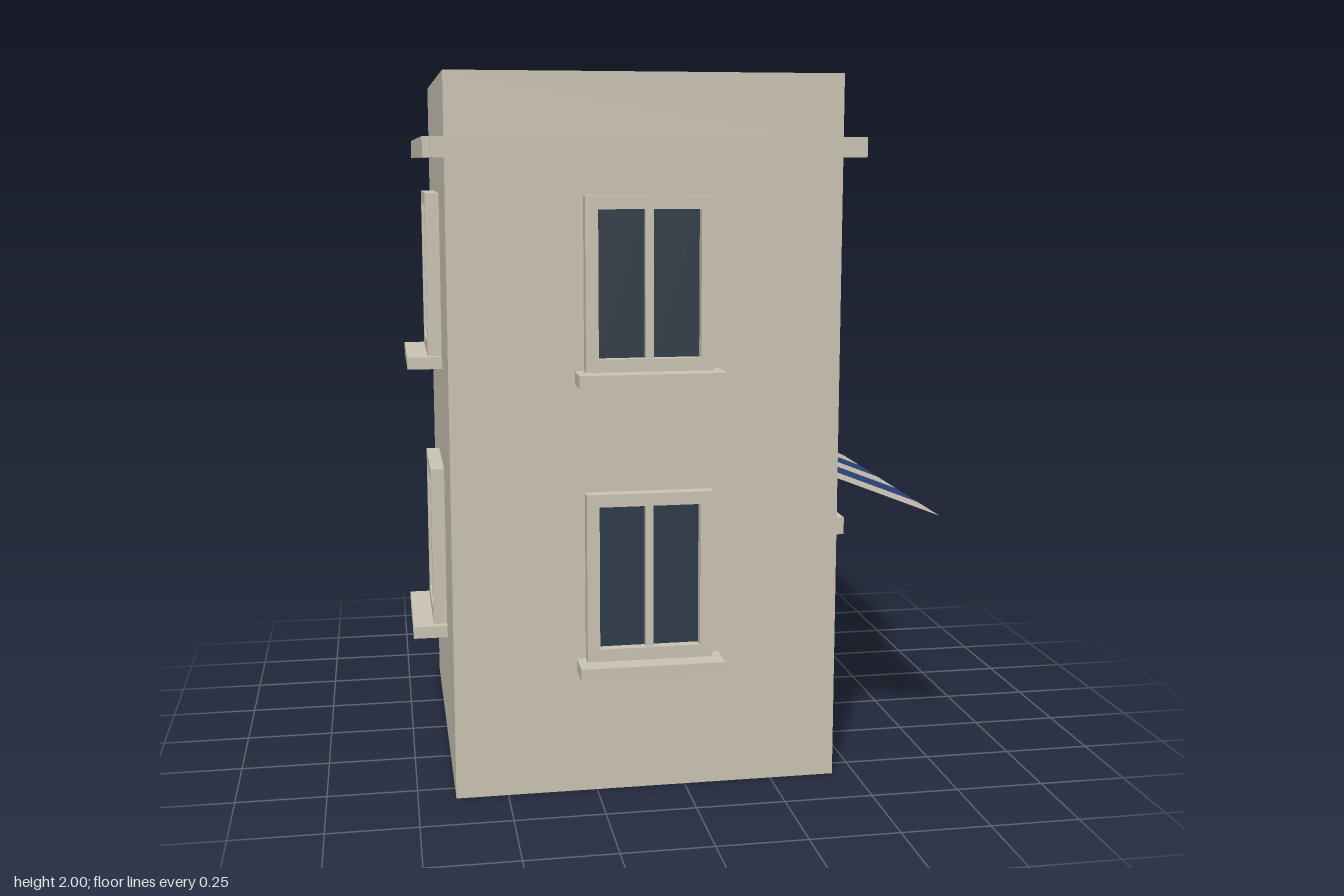
import * as THREE from 'three';

const material = (name, color, side = THREE.FrontSide) => {
  const m = new THREE.MeshStandardMaterial({ color, side });
  m.name = name;
  return m;
};

export function createModel() {
  const stone = material('stone', 0xcbc4b4, THREE.DoubleSide);
  const glass = material('glass', 0x2e3b47);
  const doorPaint = material('doorPaint', 0x2d2d2d);
  const blueCloth = material('blueCloth', 0x2a4480, THREE.DoubleSide);
  const roofGrey = material('roofGrey', 0x9c9892, THREE.DoubleSide);

  const model = new THREE.Group();
  model.name = 'cornerShop';

  // Box given by its minimum and maximum corners
  const box = (parent, name, mat, [x0, y0, z0], [x1, y1, z1]) => {
    const mesh = new THREE.Mesh(new THREE.BoxGeometry(x1 - x0, y1 - y0, z1 - z0), mat);
    mesh.position.set((x0 + x1) / 2, (y0 + y1) / 2, (z0 + z1) / 2);
    mesh.name = name;
    parent.add(mesh);
    return mesh;
  };

  // Everything on the tower is centred on its own axis
  const tower = new THREE.Group();
  tower.name = 'tower';
  tower.position.x = -0.105;
  model.add(tower);
  const W = 0.54, D = 0.575, SEAM = 1.8, TOP = 1.985, DECK = 1.82;

  // One group per side, its local +z pointing outwards from the wall
  const sides = ['front', 'right', 'back', 'left'].map((name, i) => {
    const g = new THREE.Group();
    g.name = name + 'Side';
    const a = i * Math.PI / 2;
    g.rotation.y = a;
    g.position.set(Math.sin(a) * W, 0, Math.cos(a) * D);
    tower.add(g);
    const wall = new THREE.Mesh(new THREE.PlaneGeometry(i % 2 ? 2 * D : 2 * W, SEAM), stone);
    wall.position.y = SEAM / 2;
    wall.name = 'wall';
    g.add(wall);
    return g;
  });

  // Parapet ring around the sunken roof
  const rect = (s, w, d) => s.moveTo(-w, -d).lineTo(w, -d).lineTo(w, d).lineTo(-w, d).closePath();
  const ring = rect(new THREE.Shape(), W, D);
  ring.holes.push(rect(new THREE.Path(), W - 0.047, D - 0.047));
  const parapet = new THREE.Mesh(
    new THREE.ExtrudeGeometry(ring, { depth: TOP - SEAM, bevelEnabled: false }), stone);
  parapet.rotation.x = -Math.PI / 2;
  parapet.position.y = SEAM;
  parapet.name = 'parapet';
  tower.add(parapet);

  // Roof deck and its two vent boxes
  const deck = new THREE.Mesh(new THREE.PlaneGeometry(2 * W - 0.094, 2 * D - 0.094), roofGrey);
  deck.rotation.x = -Math.PI / 2;
  deck.position.y = DECK;
  deck.name = 'roofDeck';
  tower.add(deck);
  box(model, 'roofVent', roofGrey, [0.055, DECK, -0.28], [0.24, 2, -0.035]);
  box(model, 'roofVent', roofGrey, [-0.21, DECK, -0.01], [-0.025, 2, 0.235]);

  // Cornice bands, notched at the corners
  sides.forEach((side, i) => {
    const half = i % 2 ? D + 0.037 : W + 0.037;
    box(side, 'cornice', stone, [-half, 1.76, -0.02], [half, 1.815, i % 2 ? 0.057 : 0.061]);
  });

  // Two-pane window with surround, mullion and sill; y is the underside of the sill
  const addWindow = (side, y) => {
    const g = new THREE.Group();
    g.name = 'window';
    g.position.y = y;
    side.add(g);
    box(g, 'sill', stone, [-0.2, 0, 0], [0.2, 0.035, 0.1]);
    box(g, 'lowerFrame', stone, [-0.175, 0.035, 0], [0.175, 0.07, 0.04]);
    box(g, 'upperFrame', stone, [-0.175, 0.47, 0], [0.175, 0.505, 0.04]);
    for (const s of [-1, 1]) {
      box(g, 'sideFrame', stone, [s * 0.1575 - 0.0175, 0.07, 0], [s * 0.1575 + 0.0175, 0.47, 0.04]);
      box(g, 'pane', glass, [s * 0.0755 - 0.0645, 0.07, 0.002], [s * 0.0755 + 0.0645, 0.47, 0.01]);
    }
    box(g, 'mullion', stone, [-0.011, 0.07, 0], [0.011, 0.47, 0.03]);
  };
  sides.forEach((side, i) => {
    addWindow(side, 1.155);
    if (i !== 1) addWindow(side, 0.35);
  });

  // Shopfront on the right side
  const shop = sides[1];
  box(shop, 'shopWindow', glass, [-0.455, 0.25, 0.002], [0.455, 0.685, 0.015]);
  box(shop, 'shopDoor', doorPaint, [-0.11, 0.19, 0.01], [0.11, 0.685, 0.035]);
  box(shop, 'lintel', stone, [-0.48, 0.685, 0], [0.48, 0.735, 0.05]);

  // Striped awning of six sloping cloth panels
  const awning = new THREE.Group();
  awning.name = 'awning';
  awning.position.set(0, 0.81, 0.1525);
  awning.rotation.x = Math.atan2(0.12, 0.305) - Math.PI / 2;
  shop.add(awning);
  const pitch = 2 * D / 6;
  for (let i = 0; i < 6; i++) {
    const panel = new THREE.Mesh(
      new THREE.PlaneGeometry(pitch - 0.007, Math.hypot(0.12, 0.305)), i % 2 ? blueCloth : stone);
    panel.position.x = (i - 2.5) * pitch;
    panel.name = 'awningStripe';
    awning.add(panel);
  }
  return model;
}
